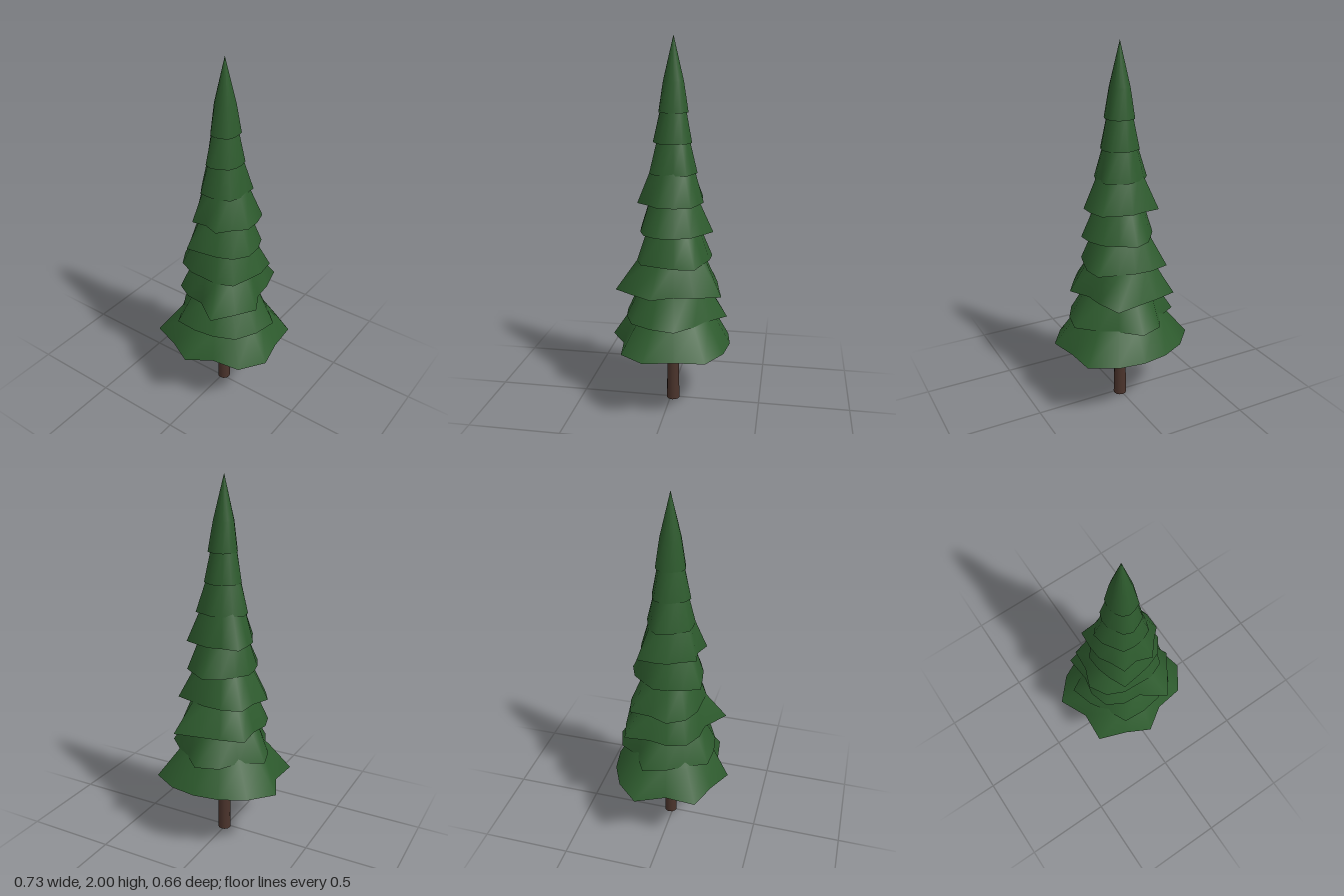
import * as THREE from 'three';

const SIDES = 14;
const START = 0.28;            // angle of the first rim point, from +x towards +z
const CX = 0.005, CZ = -0.015; // trunk axis
const TIER_HEIGHT = 0.385;
const TIER_STEP = 0.157;

// Rim radius at each of the 14 angles, lowest tier first
const RIMS = [
  [.371, .356, .28, .345, .315, .379, .302, .386, .346, .321, .319, .34, .376, .325],
  [.285, .285, .26, .258, .285, .235, .254, .30, .225, .278, .30, .235, .25, .305],
  [.278, .27, .318, .20, .22, .245, .235, .22, .30, .252, .253, .32, .24, .21],
  [.20, .22, .20, .18, .20, .23, .245, .21, .259, .22, .20, .20, .25, .22],
  [.21, .20, .18, .18, .22, .18, .17, .18, .17, .195, .218, .19, .20, .20],
  [.195, .17, .195, .15, .185, .15, .16, .17, .21, .16, .165, .165, .20, .19],
  [.13, .14, .13, .125, .135, .12, .13, .145, .13, .12, .13, .125, .15, .125],
  [.10, .105, .10, .11, .105, .09, .095, .10, .105, .095, .10, .10, .105, .10],
  [.078, .085, .078, .08, .078, .07, .07, .072, .08, .078, .08, .08, .085, .076],
];

// Open, ragged cone: rim, softened middle ring and a tip
function tierGeometry(rim) {
  const mean = rim.reduce((a, b) => a + b) / SIDES;
  const rings = [
    { y: 0, radius: (i) => rim[i] },
    { y: TIER_STEP, radius: (i) => 0.7 * (mean + rim[i]) / 2 },
    { y: TIER_HEIGHT, radius: () => 0.0005 },
  ];
  const positions = [], index = [];
  rings.forEach((ring, r) => {
    for (let i = 0; i < SIDES; i++) {
      const a = START + (i / SIDES) * Math.PI * 2;
      positions.push(Math.cos(a) * ring.radius(i), ring.y, Math.sin(a) * ring.radius(i));
      if (r === 2) continue;
      const low = r * SIDES + i, lowNext = r * SIDES + (i + 1) % SIDES;
      index.push(low, low + SIDES, lowNext, lowNext, low + SIDES, lowNext + SIDES);
    }
  });
  const geometry = new THREE.BufferGeometry();
  geometry.setAttribute('position', new THREE.Float32BufferAttribute(positions, 3));
  geometry.setIndex(index);
  geometry.computeVertexNormals();
  return geometry;
}

export function createModel() {
  const tree = new THREE.Group();
  tree.name = 'pineTree';

  const needles = new THREE.MeshStandardMaterial({ color: 0x2d5a2d, side: THREE.DoubleSide });
  needles.name = 'needleGreen';
  const bark = new THREE.MeshStandardMaterial({ color: 0x4a332b });
  bark.name = 'barkBrown';

  // Trunk, tapering up into the foliage
  const trunk = new THREE.Mesh(new THREE.CylinderGeometry(0.012, 0.036, 1.6, 12), bark);
  trunk.name = 'trunk';
  trunk.position.set(CX, 0.8, CZ);
  tree.add(trunk);

  // Stacked tiers of branches
  const foliage = new THREE.Group();
  foliage.name = 'foliage';
  RIMS.forEach((rim, t) => {
    const tier = new THREE.Mesh(tierGeometry(rim), needles);
    tier.name = `branchTier${t + 1}`;
    tier.position.set(CX, 0.359 + t * TIER_STEP, CZ);
    foliage.add(tier);
  });
  tree.add(foliage);

  return tree;
}
